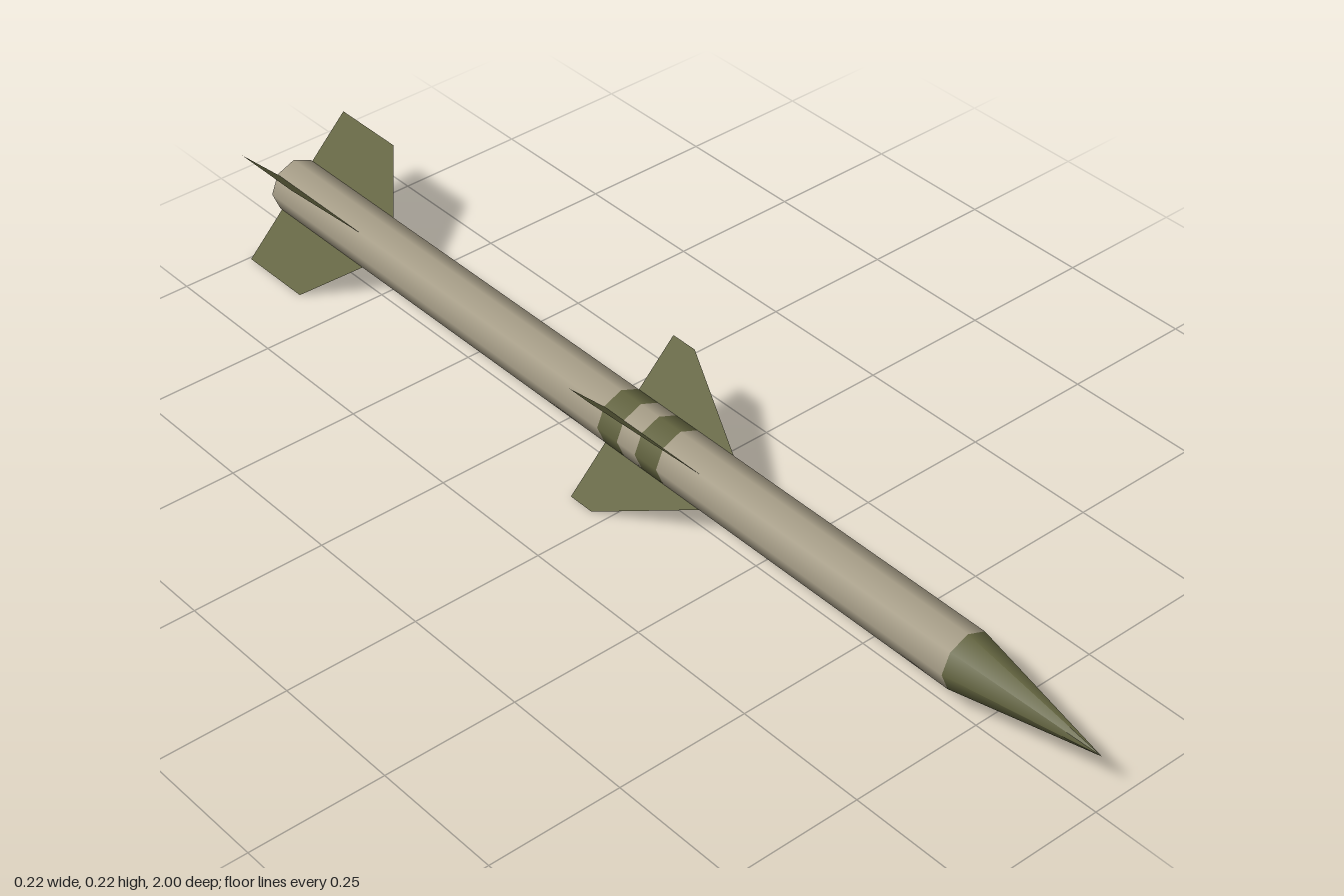
import * as THREE from 'three';

const R = 0.052;      // body radius (at the octagon corners)
const AXIS_Y = 0.112; // height of the long axis
const SIDES = 8;

export function createModel() {
  const model = new THREE.Group();
  model.name = 'rocket';

  const mat = (name, color, side = THREE.FrontSide) => {
    const m = new THREE.MeshStandardMaterial({ color, side });
    m.name = name;
    return m;
  };
  const tan = mat('tan body', 0xa59c86);
  const olive = mat('olive paint', 0x62633f, THREE.DoubleSide);
  const grey = mat('warm grey', 0x9a9088);
  const ochre = mat('ochre', 0x8c7c30);

  const add = (name, geometry, material) => {
    const mesh = new THREE.Mesh(geometry, material);
    mesh.name = name;
    mesh.position.y = AXIS_Y;
    model.add(mesh);
    return mesh;
  };

  // Eight-sided tube section from zBack to zFront
  const section = (name, zBack, zFront, rFront, material) => {
    const g = new THREE.CylinderGeometry(rFront, R, zFront - zBack, SIDES, 1, true);
    g.rotateX(Math.PI / 2).translate(0, 0, (zBack + zFront) / 2);
    add(name, g, material);
  };
  section('rearBody', -1, -0.085, R, tan);
  section('rearBand', -0.085, -0.035, R, olive);
  section('bandGap', -0.035, 0.01, R, tan);
  section('frontBand', 0.01, 0.063, R, olive);
  section('frontBody', 0.063, 0.72, R, tan);
  section('noseCone', 0.72, 1, 0, olive);

  // Tail plate with the motor outlet in its middle
  const tail = (name, geometry, material) =>
    add(name, geometry.rotateY(Math.PI).translate(0, 0, -1), material);
  tail('tailPlate', new THREE.RingGeometry(0.019, R, SIDES), grey);
  tail('motorOutlet', new THREE.CircleGeometry(0.019, SIDES), ochre);

  // Flat fins in an X: each outline is [radius, z]
  const fins = (name, outline) => {
    const shape = new THREE.Shape(outline.map(([r, z]) => new THREE.Vector2(r, z)));
    for (let i = 0; i < 4; i++) {
      const g = new THREE.ShapeGeometry(shape);
      g.rotateX(Math.PI / 2).rotateZ(Math.PI / 4 + i * Math.PI / 2);
      add(name + (i + 1), g, olive);
    }
  };
  const TIP = AXIS_Y * Math.SQRT2;
  fins('midFin', [[R - 0.002, 0.155], [TIP, -0.03], [TIP, -0.083], [R - 0.002, -0.083]]);
  fins('tailFin', [[R - 0.002, -0.75], [TIP, -0.845], [TIP, -0.995], [R - 0.002, -0.995]]);

  return model;
}
